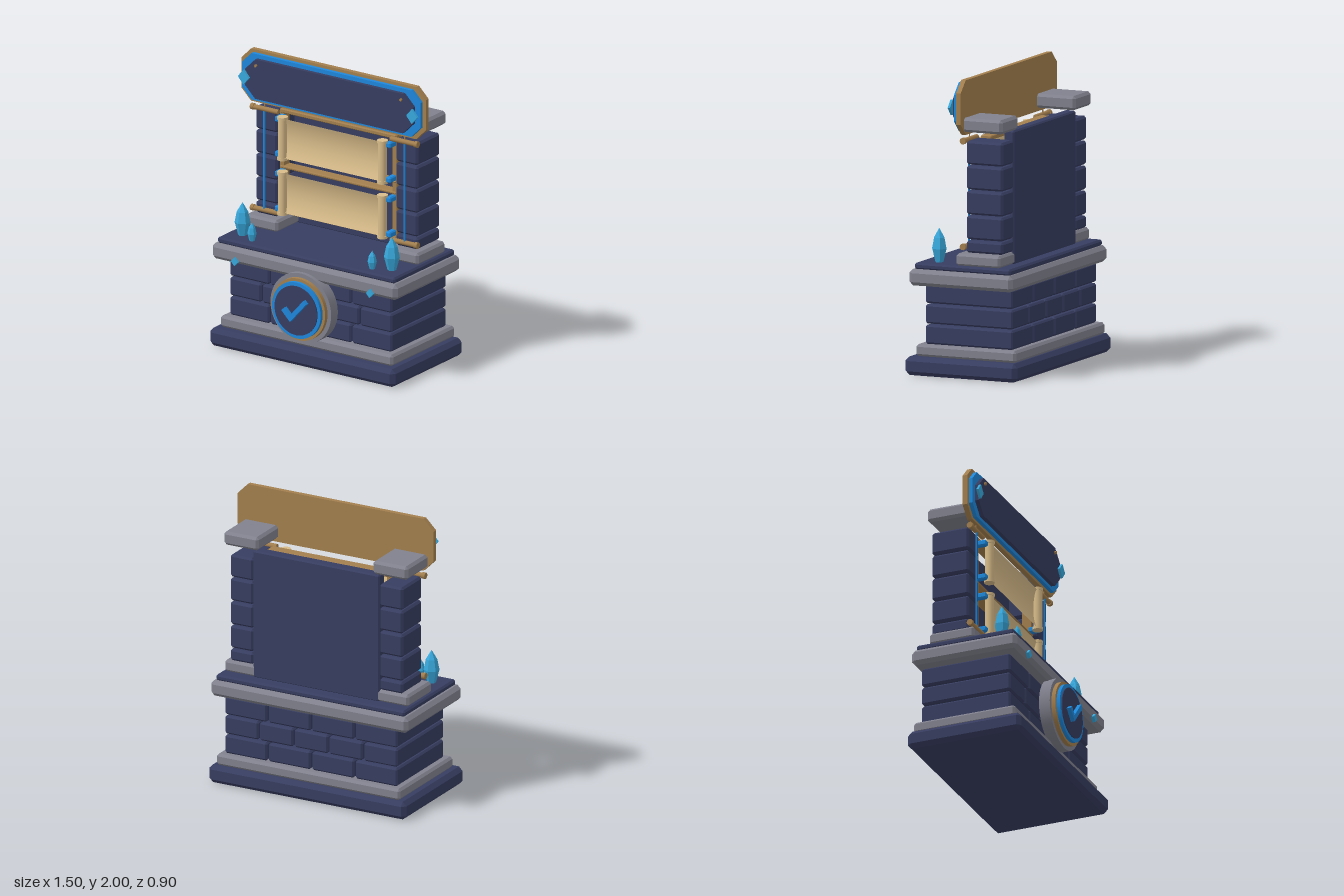
import * as THREE from 'three';
import { ConvexGeometry } from 'three/addons/geometries/ConvexGeometry.js';

const mat = (name, color, extra = {}) => {
  const m = new THREE.MeshStandardMaterial({ color, ...extra });
  m.name = name;
  return m;
};

export function createModel() {
  const root = new THREE.Group();
  root.name = 'noticeBoard';
  const navy = mat('navyStone', 0x373d60, { flatShading: true });
  const grey = mat('greyStone', 0x80818d, { flatShading: true });
  const gold = mat('bronze', 0xa37f4e);
  const paper = mat('parchment', 0xd8bc8a, { side: THREE.DoubleSide });
  const blue = mat('blueEnamel', 0x1e88dc);
  const cyan = mat('cyanCrystal', 0x38a8dc, { flatShading: true });

  const add = (name, geo, material, x = 0, y = 0, z = 0) => {
    const m = new THREE.Mesh(geo, material);
    m.name = name;
    m.position.set(x, y, z);
    root.add(m);
    return m;
  };

  // Box given by its limits, with all edges chamfered by b
  const block = (name, material, [x0, x1], [y0, y1], [z0, z1], b = 0.015) => {
    const h = [(x1 - x0) / 2, (y1 - y0) / 2, (z1 - z0) / 2];
    const pts = [];
    for (const sx of [-1, 1]) for (const sy of [-1, 1]) for (const sz of [-1, 1])
      for (let k = 0; k < 3; k++) {
        const c = h.map((v, i) => (i === k ? v : v - b));
        pts.push(new THREE.Vector3(sx * c[0], sy * c[1], sz * c[2]));
      }
    return add(name, new ConvexGeometry(pts), material, (x0 + x1) / 2, (y0 + y1) / 2, (z0 + z1) / 2);
  };
  const box = (name, material, [x0, x1], [y0, y1], [z0, z1]) =>
    add(name, new THREE.BoxGeometry(x1 - x0, y1 - y0, z1 - z0), material, (x0 + x1) / 2, (y0 + y1) / 2, (z0 + z1) / 2);
  const span = (s, a, b) => (s > 0 ? [a, b] : [-b, -a]);

  // Flat outline pushed forward from z0 to z1
  const plate = (name, material, pts, z0, z1) =>
    add(name, new THREE.ExtrudeGeometry(new THREE.Shape(pts.map(p => new THREE.Vector2(...p))),
      { depth: z1 - z0, bevelEnabled: false }), material, 0, 0, z0);
  const diamond = (name, material, x, y, w, h, z0, z1) =>
    plate(name, material, [[x + w, y], [x, y + h], [x - w, y], [x, y - h]], z0, z1);

  // Plinth, step, cornice and deck
  block('plinth', navy, [-0.75, 0.75], [0, 0.125], [-0.45, 0.37], 0.028);
  block('plinthStep', grey, [-0.698, 0.698], [0.125, 0.205], [-0.425, 0.31], 0.016);
  block('cornice', grey, [-0.75, 0.75], [0.605, 0.715], [-0.42, 0.34], 0.025);
  block('deck', navy, [-0.718, 0.718], [0.712, 0.755], [-0.395, 0.31], 0.012);

  // Brick courses of the pedestal
  [4, 5, 4].forEach((n, row) => {
    const y = 0.205 + row * 0.1375, w = 1.322 / n;
    for (let i = 0; i < n; i++) {
      const x = -0.661 + i * w;
      block('pedestalBrick', navy, [x + 0.005, x + w - 0.005], [y, y + 0.128], [-0.383, 0.258], 0.012);
    }
  });

  // Back wall and both pillars
  block('backPanel', navy, [-0.48, 0.48], [0.75, 1.65], [-0.312, -0.235], 0.01);
  for (const s of [-1, 1]) {
    block('pillarBase', grey, span(s, 0.44, 0.7), [0.752, 0.835], [-0.31, 0.015], 0.016);
    block('pillarCap', grey, span(s, 0.435, 0.7), [1.655, 1.75], [-0.325, -0.03], 0.018);
    const courses = [0.835, 0.925, 1.092, 1.26, 1.428, 1.595];
    for (let i = 0; i < 5; i++)
      block('pillarBrick', navy, span(s, 0.48, 0.657), [courses[i] + 0.004, courses[i + 1] - 0.005], [-0.31, -0.042], 0.014);
  }

  // Bronze frame holding the scrolls
  for (const [y0, y1] of [[1.575, 1.605], [1.265, 1.28], [1.185, 1.205], [0.868, 0.89]])
    block('frameRail', gold, [-0.47, 0.47], [y0, y1], [-0.14, -0.06], 0.006);
  for (const s of [-1, 1])
    box('frameStile', gold, span(s, 0.44, 0.472), [0.868, 1.6], [-0.13, -0.065]);

  // Scrolls: bowed sheet between two rolls, with clips
  for (const yc of [1.425, 1.04]) {
    const sheet = new THREE.PlaneGeometry(0.8, 0.28, 1, 12);
    const p = sheet.attributes.position;
    for (let i = 0; i < p.count; i++) p.setZ(i, 0.03 * (p.getY(i) / 0.14) ** 2);
    sheet.computeVertexNormals();
    add('scrollSheet', sheet, paper, 0, yc, -0.025);
    for (const s of [-1, 1]) {
      add('scrollRoll', new THREE.CylinderGeometry(0.03, 0.03, 0.3, 16), paper, s * 0.405, yc, 0.002);
      for (const t of [-1, 1]) {
        add('scrollRollEnd', new THREE.CylinderGeometry(0.036, 0.036, 0.02, 16), paper, s * 0.405, yc + t * 0.142, 0);
        block('scrollClip', blue, span(s, 0.427, 0.47), [yc + t * 0.123 - 0.02, yc + t * 0.123 + 0.02], [-0.08, 0.003], 0.008);
      }
    }
  }

  // Side brackets with blue cords
  for (const s of [-1, 1]) {
    for (const y of [1.59, 0.878]) {
      const bar = add('bracketBar', new THREE.CylinderGeometry(0.017, 0.017, 0.22, 10), gold, s * 0.565, y, -0.026);
      bar.rotation.z = Math.PI / 2;
      const knob = add('bracketKnob', new THREE.CylinderGeometry(0.022, 0.022, 0.025, 10), gold, s * 0.663, y, -0.026);
      knob.rotation.z = Math.PI / 2;
    }
    add('cord', new THREE.CylinderGeometry(0.008, 0.008, 0.72, 8), blue, s * 0.568, 1.235, -0.022);
    add('hanger', new THREE.CylinderGeometry(0.005, 0.005, 0.08, 8), gold, s * 0.568, 1.63, -0.026);
  }

  // Layered header sign
  const octagon = (w, y0, y1, c) => [[w - c, y0], [w, y0 + c], [w, y1 - c], [w - c, y1],
    [c - w, y1], [-w, y1 - c], [-w, y0 + c], [c - w, y0]];
  plate('signBack', gold, octagon(0.747, 1.632, 2, 0.078), -0.046, -0.012);
  plate('signBorder', blue, octagon(0.722, 1.652, 1.98, 0.075), -0.012, 0.015);
  plate('signFace', navy, octagon(0.68, 1.675, 1.952, 0.082), 0.015, 0.043);
  for (const s of [-1, 1]) {
    diamond('signGem', cyan, s * 0.682, 1.815, 0.044, 0.052, 0.043, 0.06);
    diamond('signStud', gold, s * 0.588, 1.912, 0.009, 0.012, 0.043, 0.058);
    diamond('corniceGem', cyan, s * 0.547, 0.627, 0.028, 0.03, 0.335, 0.358);
  }

  // Round medallion with a tick
  const disc = (name, material, r, z0, z1) => {
    const m = add(name, new THREE.CylinderGeometry(r, r, z1 - z0, 48), material, 0, 0.415, (z0 + z1) / 2);
    m.rotation.x = Math.PI / 2;
  };
  const smoothGrey = grey.clone();
  smoothGrey.flatShading = false;
  disc('medallionBase', smoothGrey, 0.246, 0.29, 0.368);
  disc('medallionRim', gold, 0.217, 0.36, 0.396);
  disc('medallionRing', blue, 0.197, 0.39, 0.42);
  disc('medallionFace', navy, 0.172, 0.41, 0.427);
  plate('tick', blue, [[-0.098, 0.408], [-0.028, 0.338], [0.102, 0.485], [0.08, 0.508],
    [-0.028, 0.385], [-0.074, 0.431]], 0.42, 0.455);

  // Crystals on the deck
  const crystal = (x, z, r, h) => add('crystal', new THREE.LatheGeometry(
    [[0, 0], [0.55, 0], [1, 0.4], [0.72, 0.72], [0, 1]].map(([a, b]) => new THREE.Vector2(a * r, b * h)), 6),
    cyan, x, 0.753, z);
  for (const s of [-1, 1]) {
    crystal(s * 0.605, 0.178, 0.053, 0.232);
    crystal(s * 0.487, 0.237, 0.031, 0.13);
  }
  return root;
}
